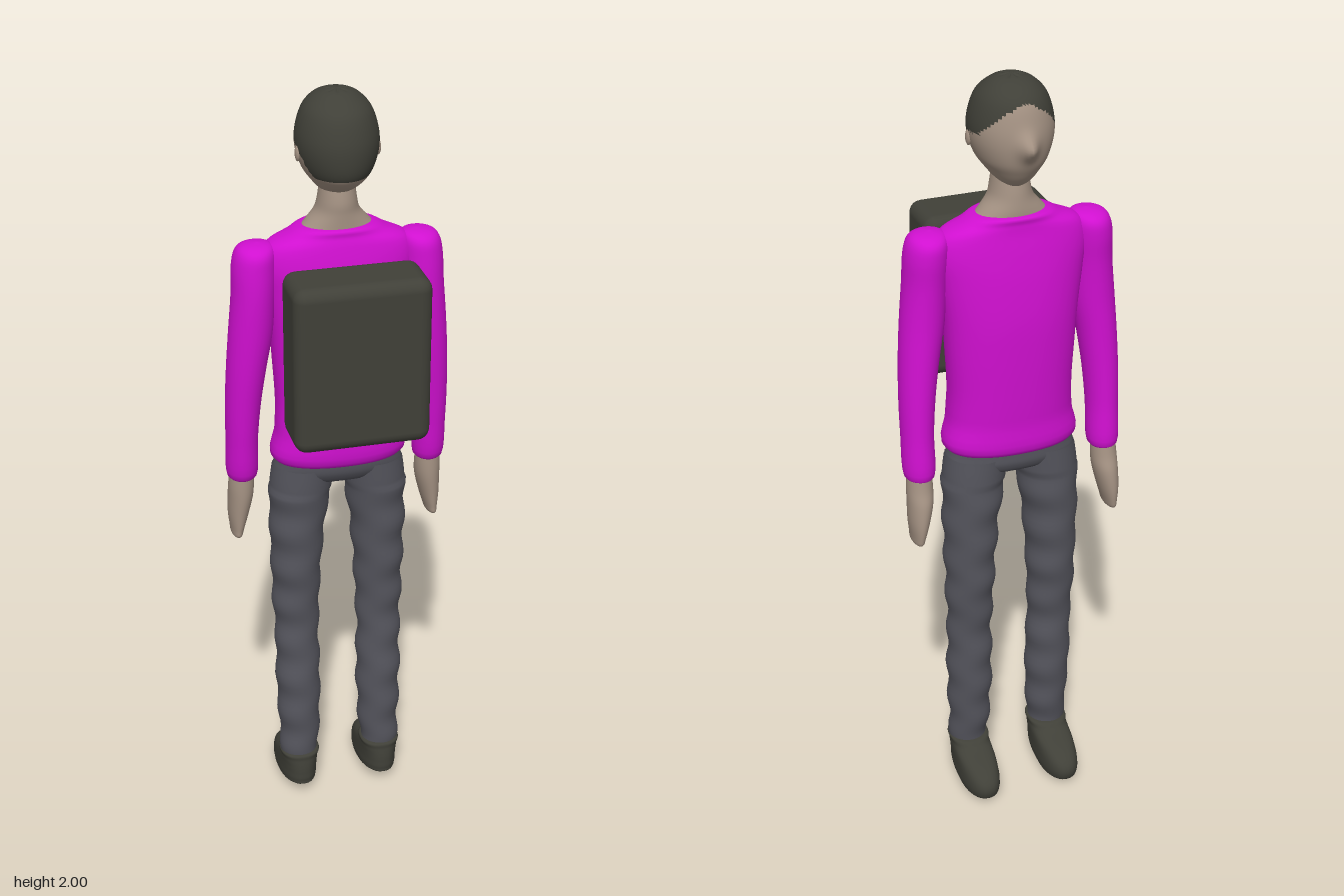
import * as THREE from 'three';
import { RoundedBoxGeometry } from 'three/addons/geometries/RoundedBoxGeometry.js';

const mat = (name, color) => Object.assign(new THREE.MeshStandardMaterial({ color }), { name });

// Catmull-Rom blend of two neighbouring cross-sections
function blend(rings, u) {
  const i = Math.min(Math.floor(u), rings.length - 2), t = u - i;
  const at = k => rings[Math.max(0, Math.min(rings.length - 1, k))];
  const [a, b, c, d] = [at(i - 1), at(i), at(i + 1), at(i + 2)];
  return b.map((p, k) => {
    const m0 = (c[k] - a[k]) / 2, m1 = (d[k] - p) / 2, t2 = t * t, t3 = t2 * t;
    return p * (2 * t3 - 3 * t2 + 1) + m0 * (t3 - 2 * t2 + t) + c[k] * (3 * t2 - 2 * t3) + m1 * (t3 - t2);
  });
}

// Smooth body through rings [cx, y, zBack, zFront, halfWidth], listed from top to bottom.
// side mirrors it in x; deform(v) moves points; pick(centroid) gives a material index.
function loft(rings, { side = 1, seg = 32, sub = 5, square = 1, deform, pick } = {}) {
  const rows = (rings.length - 1) * sub, pos = [], faces = [[], []], v = new THREE.Vector3();
  const soft = s => Math.sign(s) * Math.abs(s) ** square;
  for (let i = 0; i <= rows; i++) {
    const [cx, y, zb, zf, r] = blend(rings, i / sub);
    for (let j = 0; j < seg; j++) {
      const t = j / seg * Math.PI * 2;
      v.set(side * cx + Math.max(r, 0) * soft(Math.sin(t)), y, (zb + zf) / 2 + (zb - zf) / 2 * soft(Math.cos(t)));
      if (deform) deform(v);
      pos.push(v.x, v.y, v.z);
    }
  }
  const point = k => new THREE.Vector3().fromArray(pos, k * 3);
  for (let i = 0; i < rows; i++) for (let j = 0; j < seg; j++) {
    const k = (j + 1) % seg, a = i * seg + j, b = a + seg, c = (i + 1) * seg + k, d = i * seg + k;
    for (const f of [[a, b, c], [a, c, d]]) {
      const mid = point(f[0]).add(point(f[1])).add(point(f[2])).divideScalar(3);
      faces[pick ? pick(mid) : 0].push(...f);
    }
  }
  const g = new THREE.BufferGeometry();
  g.setAttribute('position', new THREE.Float32BufferAttribute(pos, 3));
  g.setIndex([...faces[0], ...faces[1]]);
  if (pick) {
    g.addGroup(0, faces[0].length, 0);
    g.addGroup(faces[0].length, faces[1].length, 1);
  }
  g.computeVertexNormals();
  return g;
}

export function createModel() {
  const skin = mat('skin', 0xa39182), dark = mat('darkOlive', 0x404038);
  const shirt = mat('magentaShirt', 0xd010d0), cloth = mat('greyTrousers', 0x54545c);
  const model = new THREE.Group();
  model.name = 'walkerWithBackpack';
  const add = (name, geo, material) => {
    const m = new THREE.Mesh(geo, material);
    m.name = name;
    model.add(m);
    return m;
  };

  // Head: nose bump, crown swirl, hair as separate faces
  const hairline = [[-0.155, 1.94], [-0.13, 1.9], [-0.1, 1.875], [-0.045, 1.868], [-0.02, 1.84], [0, 1.8], [0.1, 1.8]];
  const isHair = p => {
    if (p.z < -0.155) return 0;
    const k = hairline.findIndex(h => h[0] >= p.z), b = hairline[Math.max(k, 1)], a = hairline[Math.max(k, 1) - 1];
    return p.y > a[1] + (b[1] - a[1]) * (p.z - a[0]) / (b[0] - a[0]) ? 1 : 0;
  };
  const head = loft([
    [0, 2.0, -0.06, -0.06, 0], [0, 1.995, -0.03, -0.095, 0.032], [0, 1.98, 0.0, -0.13, 0.06],
    [0, 1.95, 0.035, -0.157, 0.085], [0, 1.9, 0.055, -0.172, 0.1], [0, 1.855, 0.06, -0.176, 0.1],
    [0, 1.81, 0.053, -0.17, 0.086], [0, 1.78, 0.03, -0.155, 0.066], [0, 1.755, -0.01, -0.135, 0.045],
    [0, 1.738, -0.045, -0.11, 0.022], [0, 1.732, -0.08, -0.08, 0],
  ], {
    seg: 72, sub: 7, pick: isHair, deform: v => {
      if (v.z < -0.1) v.z -= 0.032 * Math.exp(-((v.x / 0.022) ** 2) - ((v.y - 1.855) / 0.028) ** 2);
      const dz = v.z + 0.06, r = Math.hypot(v.x, dz);
      if (v.y > 1.95) v.y -= 0.003 * Math.exp(-(((r - 0.018) / 0.01) ** 2)) * Math.max(0, Math.cos(7 * Math.atan2(v.x, dz) + r * 40));
    },
  });
  add('headWithHair', head, [skin, dark]);

  add('neck', loft([
    [0, 1.78, -0.01, -0.1, 0.042], [0, 1.73, 0.0, -0.112, 0.048], [0, 1.7, 0.0, -0.117, 0.056],
    [0, 1.675, 0.0, -0.12, 0.076], [0, 1.655, 0.0, -0.12, 0.095],
  ]), skin);

  add('shirtBody', loft([
    [0, 1.664, -0.06, -0.06, 0], [0, 1.664, 0.005, -0.126, 0.085], [0, 1.645, 0.012, -0.13, 0.13],
    [0, 1.62, 0.02, -0.133, 0.18], [0, 1.57, 0.03, -0.142, 0.195], [0, 1.5, 0.036, -0.152, 0.185],
    [0, 1.4, 0.042, -0.16, 0.172], [0, 1.3, 0.043, -0.16, 0.165], [0, 1.2, 0.045, -0.157, 0.16],
    [0, 1.12, 0.05, -0.153, 0.163], [0, 1.035, 0.038, -0.147, 0.165], [0, 1.035, -0.06, -0.06, 0],
  ], { seg: 48, square: 0.88 }), shirt);

  add('hips', loft([
    [0, 1.07, 0.03, -0.14, 0.157], [0, 1.03, 0.032, -0.142, 0.165], [0, 1.0, 0.024, -0.14, 0.168],
    [0, 0.975, 0.0, -0.12, 0.13], [0, 0.965, -0.06, -0.06, 0],
  ], { square: 0.88 }), cloth);

  for (const [side, label] of [[1, 'left'], [-1, 'right']]) {
    // Ears
    const ear = add(label + 'Ear', new THREE.SphereGeometry(0.02, 12, 8), skin);
    ear.scale.set(0.35, 1, 0.6);
    ear.position.set(side * 0.099, 1.85, -0.045);

    // Sleeves and hands
    add(label + 'Sleeve', loft([
      [0.2, 1.634, -0.05, -0.05, 0], [0.203, 1.628, -0.015, -0.085, 0.035], [0.207, 1.61, 0.008, -0.11, 0.05],
      [0.211, 1.57, 0.015, -0.115, 0.055], [0.215, 1.5, 0.018, -0.11, 0.054], [0.223, 1.4, 0.014, -0.108, 0.055],
      [0.235, 1.3, 0.006, -0.11, 0.05], [0.244, 1.2, -0.005, -0.113, 0.045], [0.248, 1.1, -0.016, -0.116, 0.041],
      [0.248, 0.99, -0.032, -0.12, 0.038], [0.248, 0.99, -0.075, -0.08, 0],
    ], { side }), shirt);
    add(label + 'Hand', loft([
      [0.249, 1.01, -0.045, -0.112, 0.03], [0.25, 0.96, -0.042, -0.122, 0.033], [0.252, 0.92, -0.042, -0.135, 0.032],
      [0.258, 0.87, -0.046, -0.14, 0.026], [0.262, 0.83, -0.05, -0.137, 0.018], [0.264, 0.81, -0.055, -0.13, 0.013],
      [0.265, 0.802, -0.09, -0.1, 0],
    ], { side }), skin);

    // Trouser legs with soft folds
    add(label + 'TrouserLeg', loft([
      [0.088, 1.02, 0.024, -0.14, 0.082], [0.098, 0.95, 0.022, -0.141, 0.081], [0.107, 0.85, 0.016, -0.14, 0.073],
      [0.112, 0.7, 0.009, -0.135, 0.065], [0.113, 0.6, 0.001, -0.128, 0.062], [0.113, 0.5, 0.0, -0.116, 0.058],
      [0.112, 0.35, 0.01, -0.116, 0.059], [0.112, 0.2, 0.01, -0.103, 0.054], [0.114, 0.11, 0.006, -0.09, 0.049],
    ], {
      side, sub: 9, deform: v => {
        const fold = 0.0035 * Math.sin(v.y * 55) * (v.y < 0.95 ? 1 : 0);
        v.x += side * fold;
        v.z += fold * 0.6;
      },
    }), cloth);

    // Shoes, heel slightly raised
    add(label + 'Shoe', loft([
      [0.114, 0.13, -0.04, -0.04, 0], [0.114, 0.13, 0.01, -0.093, 0.05], [0.114, 0.112, 0.015, -0.118, 0.051],
      [0.114, 0.088, 0.018, -0.178, 0.052], [0.114, 0.06, 0.019, -0.212, 0.052], [0.114, 0.03, 0.018, -0.216, 0.051],
      [0.114, 0.01, 0.005, -0.195, 0.042], [0.114, 0.0, -0.1, -0.1, 0],
    ], {
      side, square: 0.85,
      deform: v => { v.y += 0.025 * Math.max(0, 1 - v.y / 0.1) * THREE.MathUtils.clamp((v.z + 0.14) / 0.14, 0, 1); },
    }), dark);
  }

  // Backpack
  add('backpack', new RoundedBoxGeometry(0.34, 0.43, 0.16, 3, 0.032), dark).position.set(0, 1.39, 0.14);
  return model;
}
